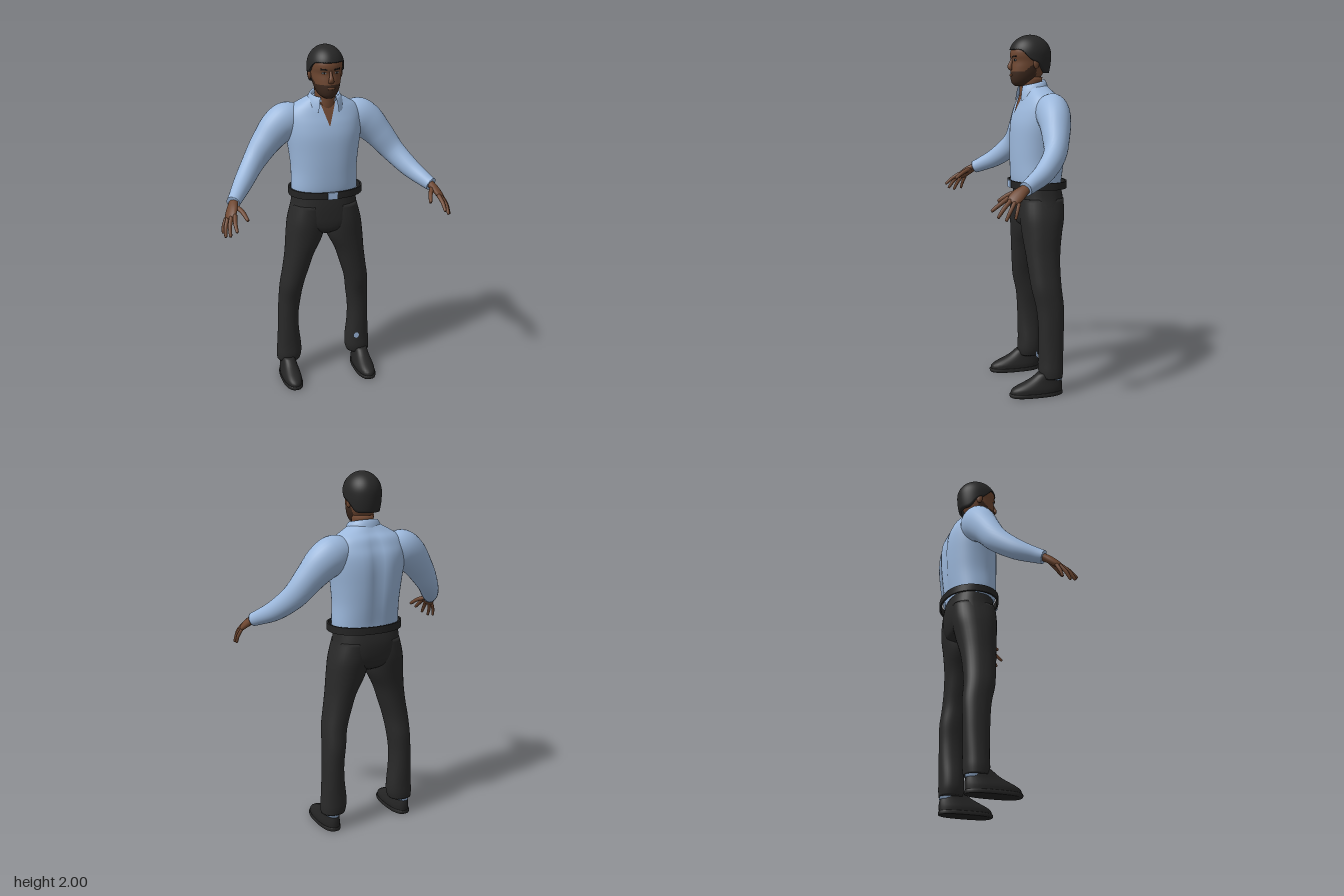
import * as THREE from 'three';
import { toCreasedNormals } from 'three/addons/utils/BufferGeometryUtils.js';

const mat = (name, color, side = THREE.FrontSide) => {
  const m = new THREE.MeshStandardMaterial({ color, side });
  m.name = name;
  return m;
};

// Catmull-Rom through rows of numbers
function spline(rows, t) {
  const f = Math.min(Math.max(t, 0), 1) * (rows.length - 1);
  const i = Math.min(Math.floor(f), rows.length - 2), u = f - i;
  const at = k => rows[Math.min(Math.max(k, 0), rows.length - 1)];
  const [a, b, c, d] = [at(i - 1), at(i), at(i + 1), at(i + 2)];
  return b.map((_, k) => 0.5 * (2 * b[k] + (c[k] - a[k]) * u
    + (2 * a[k] - 5 * b[k] + 4 * c[k] - d[k]) * u * u
    + (3 * b[k] - a[k] - 3 * c[k] + d[k]) * u * u * u));
}

// Surface from fn(u, v); wrap joins the columns, caps close the end rows
function grid(nu, nv, fn, wrap = true, caps = wrap) {
  const pos = [], idx = [], cols = wrap ? nu : nu + 1;
  for (let j = 0; j <= nv; j++)
    for (let i = 0; i < cols; i++) pos.push(...fn(i / nu, j / nv));
  for (let j = 0; j < nv; j++)
    for (let i = 0; i < nu; i++) {
      const a = j * cols + i, b = j * cols + (i + 1) % cols;
      idx.push(a, b, b + cols, a, b + cols, a + cols);
    }
  if (caps) for (const j of [0, nv]) {
    const c = [0, 0, 0], n = pos.length / 3;
    for (let i = 0; i < cols; i++)
      for (let k = 0; k < 3; k++) c[k] += pos[(j * cols + i) * 3 + k] / cols;
    pos.push(...c);
    for (let i = 0; i < cols; i++) {
      const a = j * cols + i, b = j * cols + (i + 1) % cols;
      if (j) idx.push(a, b, n); else idx.push(b, a, n);
    }
  }
  const g = new THREE.BufferGeometry();
  g.setAttribute('position', new THREE.Float32BufferAttribute(pos, 3));
  g.setIndex(idx);
  g.computeVertexNormals();
  return g;
}

// Point on a horizontal ring [y, x0, x1, zFront, zBack]; p squares it off
function ringPoint([y, x0, x1, zf, zb], u, p = 2) {
  const a = u * Math.PI * 2, s = Math.sin(a), c = Math.cos(a);
  const e = v => Math.sign(v) * Math.abs(v) ** (2 / p);
  return [(x0 + x1) / 2 + e(s) * (x1 - x0) / 2, y, (zf + zb) / 2 + e(c) * (zf - zb) / 2];
}
const loft = (rows, nu, nv, p) => grid(nu, nv, (u, v) => ringPoint(spline(rows, v), u, p));
const even = rows => rows.map(([y, r, zf, zb]) => [y, -r, r, zf, zb]);

// Tapering limb through [x, y, z, rA, rB]; rA lies along ref
function limb(rows, ref, nu, nv) {
  const P = t => new THREE.Vector3(...spline(rows, t));
  return grid(nu, nv, (u, v) => {
    const r = spline(rows, v), a = u * Math.PI * 2;
    const T = P(v + 0.01).sub(P(v - 0.01)).normalize();
    const A = new THREE.Vector3(...ref);
    A.addScaledVector(T, -A.dot(T)).normalize();
    const B = T.clone().cross(A);
    return P(v).addScaledVector(A, r[3] * Math.cos(a)).addScaledVector(B, r[4] * Math.sin(a)).toArray();
  });
}

function mirrored(geo) {
  const g = geo.clone().scale(-1, 1, 1), ix = g.index.array;
  for (let i = 0; i < ix.length; i += 3) [ix[i], ix[i + 1]] = [ix[i + 1], ix[i]];
  return g;
}

export function createModel() {
  const model = new THREE.Group();
  const skin = mat('skin', 0x6e4731), skinSheet = skin;
  const beard = mat('beard', 0x3d291e), hair = mat('hair', 0x272727, THREE.DoubleSide);
  const shirt = mat('shirt', 0x9cb8dc, THREE.DoubleSide), trousers = mat('trousers', 0x292929);
  const leather = mat('leather', 0x242424), eye = mat('eye', 0x76838c), dark = mat('pupil', 0x17120f);
  const add = (name, geo, m) => {
    const mesh = new THREE.Mesh(geo, m);
    mesh.name = name;
    model.add(mesh);
    return mesh;
  };
  const pair = (name, geo, m) => {
    add('left ' + name, geo, m);
    add('right ' + name, mirrored(geo), m);
  };

  // Shirt body with a shallow groove down the spine
  const torso = even([[1.15, .184, .0, -.25], [1.2, .19, .015, -.255], [1.3, .188, .02, -.27],
    [1.4, .198, .02, -.28], [1.5, .213, .015, -.283], [1.57, .218, .0, -.275], [1.62, .212, -.018, -.255],
    [1.66, .185, -.033, -.235], [1.69, .14, -.045, -.205], [1.72, .085, -.05, -.18]]);
  add('shirt body', grid(48, 40, (u, v) => {
    const p = ringPoint(spline(torso, v), u, 2.3);
    if (p[2] < -.15) p[2] += .018 * Math.exp(-((p[0] / .035) ** 2)) * Math.sin(Math.PI * v);
    return p;
  }), shirt);

  // Open neck, laid on the chest
  const chestZ = (x, y) => {
    let t = 0;
    while (t < 1 && spline(torso, t)[0] < y) t += .004;
    const [, , rx, zf, zb] = spline(torso, t);
    return (zf + zb) / 2 + (zf - zb) / 2 * (1 - Math.abs(x / rx) ** 2.3) ** (1 / 2.3);
  };
  add('open neck', grid(8, 10, (u, v) => {
    const x = (u - .5) * (.004 + .088 * v), y = 1.57 + .13 * v;
    return [x, y, chestZ(x, y) + .005];
  }, false), skinSheet);
  add('neck', loft(even([[1.58, .06, -.05, -.16], [1.65, .062, -.03, -.16], [1.7, .058, -.027, -.15],
    [1.77, .06, -.03, -.155]]), 24, 8), skin);

  // Folded collar
  add('collar', grid(36, 6, (u, v) => {
    const a = .55 + u * (Math.PI * 2 - 1.1), back = (1 - Math.cos(a)) / 2;
    const [rx, rz, y] = spline([[.108, .092, 1.635 + .065 * back], [.098, .086, 1.68 + .05 * back],
      [.08, .074, 1.72 + .034 * back], [.068, .066, 1.69 + .04 * back]], v);
    return [rx * Math.sin(a), y, -.095 + rz * Math.cos(a)];
  }, false), shirt);

  // Belt standing off the waist, with buckle
  const beltRows = [[1.155, 0], [1.195, 0], [1.195, .01], [1.155, .01], [1.155, 0]];
  add('belt', toCreasedNormals(grid(48, 4, (u, v) => {
    const [y, d] = beltRows[Math.round(v * 4)];
    return ringPoint([y, -.205 + d, .22 - d, .035 - d, -.285 + d], u, 2.2);
  }, true, false), .7), leather);
  add('buckle', new THREE.BoxGeometry(.055, .04, .009).translate(.007, 1.175, .036), shirt);

  // Trousers
  add('hips', loft(even([[1.165, .184, -.005, -.25], [1.1, .19, .0, -.262], [1.04, .203, .0, -.26],
    [.99, .195, -.003, -.25], [.95, .11, -.015, -.23], [.92, .03, -.06, -.17]]).reverse(), 40, 20, 2.4), trousers);
  pair('trouser leg', loft([[.1, .152, .288, -.085, -.212], [.14, .142, .29, -.078, -.216],
    [.2, .143, .286, -.08, -.216], [.3, .155, .28, -.078, -.218], [.4, .157, .277, -.075, -.22],
    [.5, .145, .272, -.065, -.222], [.6, .13, .266, -.042, -.212], [.7, .1, .25, -.03, -.21],
    [.8, .066, .236, -.02, -.216], [.9, .016, .228, -.01, -.232], [1.0, .0, .215, -.002, -.25],
    [1.1, .005, .188, -.006, -.25]], 32, 44, 2.2), trousers);

  // Shoes and socks
  pair('sole', loft([[0, .172, .284, .085, -.208], [.004, .17, .287, .094, -.212],
    [.018, .17, .287, .096, -.212], [.022, .174, .283, .09, -.208]], 32, 6, 2.5), leather);
  pair('shoe', loft([[.015, .174, .283, .09, -.208], [.04, .173, .284, .085, -.21], [.06, .177, .28, .055, -.21],
    [.08, .182, .275, .01, -.207], [.1, .186, .272, -.03, -.202], [.13, .19, .268, -.07, -.196]], 32, 14, 2.3), leather);
  pair('sock', loft([[.085, .188, .27, -.07, -.21], [.13, .188, .27, -.085, -.205]], 20, 2), shirt);
  add('sock patch', new THREE.CircleGeometry(.02, 7).translate(.19, .222, -.074), shirt);

  // Sleeves
  pair('sleeve', limb([[.13, 1.59, -.15, .075, .075], [.2, 1.58, -.15, .105, .09], [.265, 1.54, -.145, .1, .088],
    [.335, 1.465, -.13, .082, .075], [.41, 1.37, -.1, .068, .06], [.485, 1.285, -.02, .056, .052],
    [.545, 1.232, .07, .042, .04], [.568, 1.215, .105, .037, .037]], [0, 1, 0], 28, 40), shirt);

  // Hands
  const across = [.63, -.35, -.7];
  pair('palm', limb([[.556, 1.224, .085, .026, .022], [.57, 1.21, .115, .03, .021], [.583, 1.19, .145, .037, .02],
    [.597, 1.165, .176, .036, .016], [.602, 1.155, .188, .024, .009]], across, 16, 14), skin);
  const fingers = {
    'index finger': [[.575, 1.177, .195], [.584, 1.148, .24], [.583, 1.115, .282], .0115],
    'middle finger': [[.594, 1.166, .188], [.61, 1.13, .226], [.614, 1.086, .258], .0115],
    'ring finger': [[.61, 1.157, .172], [.628, 1.115, .2], [.634, 1.072, .222], .011],
    'little finger': [[.618, 1.152, .153], [.635, 1.112, .167], [.64, 1.078, .176], .0095],
    'thumb': [[.564, 1.205, .13], [.535, 1.188, .18], [.516, 1.155, .23], .013],
  };
  for (const [name, [a, b, c, r]] of Object.entries(fingers)) {
    const tip = c.map((v, k) => v + (c[k] - b[k]) * .08);
    pair(name, limb([[...a, r, r], [...b, r * .95, r * .95], [...c, r * .7, r * .7], [...tip, r * .2, r * .2]],
      across, 10, 12), skin);
  }

  // Head, with the beard as its own face group
  const head = loft(even([[1.72, .025, .0, -.07], [1.733, .044, .016, -.1], [1.755, .059, .024, -.13],
    [1.785, .071, .026, -.155], [1.82, .079, .023, -.17], [1.855, .084, .019, -.18], [1.885, .089, .026, -.185],
    [1.915, .09, .022, -.185], [1.95, .078, .0, -.165], [1.975, .04, -.04, -.12]]), 56, 56, 2.1);
  const groups = [[], []], hp = head.attributes.position, hi = head.index.array;
  for (let i = 0; i < hi.length; i += 3) {
    const f = [hi[i], hi[i + 1], hi[i + 2]];
    const mean = get => f.reduce((s, k) => s + get(k) / 3, 0);
    const y = mean(k => hp.getY(k)), z = mean(k => hp.getZ(k));
    groups[z > -.1 && y < 1.797 + Math.max(0, -z - .03) * .8 ? 1 : 0].push(...f);
  }
  head.setIndex(groups.flat());
  head.addGroup(0, groups[0].length, 0);
  head.addGroup(groups[0].length, groups[1].length, 1);
  add('head', head, [skin, beard]);

  // Hair shell: low at the nape, high over the brow
  add('hair', grid(48, 22, (u, v) => {
    const a = u * Math.PI * 2, c = Math.cos(a);
    const low = spline([[1.79], [1.795], [1.845], [1.865], [1.912], [1.916]], (c + 1) / 2)[0];
    const k = Math.max(0, (v - .05) / .95), y = low + (2 - low) * Math.sin(k * Math.PI / 2);
    const d = y - 1.89, r = Math.sqrt(Math.max(0, 1 - (d / (d > 0 ? .11 : .22)) ** 2)) * (v === 0 ? .84 : 1);
    return [.101 * r * Math.sin(a), y, -.086 + (c > 0 ? .12 : .118) * r * c];
  }, true, false), hair);

  // Face details
  add('nose', limb([[0, 1.872, .015, .007, .008], [0, 1.845, .025, .009, .011], [0, 1.825, .032, .015, .012],
    [0, 1.812, .026, .016, .008], [0, 1.808, .02, .008, .004]], [1, 0, 0], 14, 14), skin);
  add('mouth', new THREE.SphereGeometry(1, 16, 8).scale(.024, .007, .005).translate(0, 1.779, .025), skin);
  pair('ear', new THREE.SphereGeometry(1, 14, 10).scale(.01, .03, .018).rotateY(.3).translate(.087, 1.842, -.095), skin);
  pair('eye', new THREE.SphereGeometry(1, 14, 8).scale(.014, .006, .004).rotateY(.32).translate(.034, 1.862, .011), eye);
  pair('pupil', new THREE.SphereGeometry(1, 10, 8).scale(.005, .006, .003).translate(.034, 1.862, .014), dark);
  pair('eyebrow', new THREE.BoxGeometry(.036, .008, .008).rotateZ(.08).rotateY(.36).translate(.036, 1.881, .015), dark);
  return model;
}
